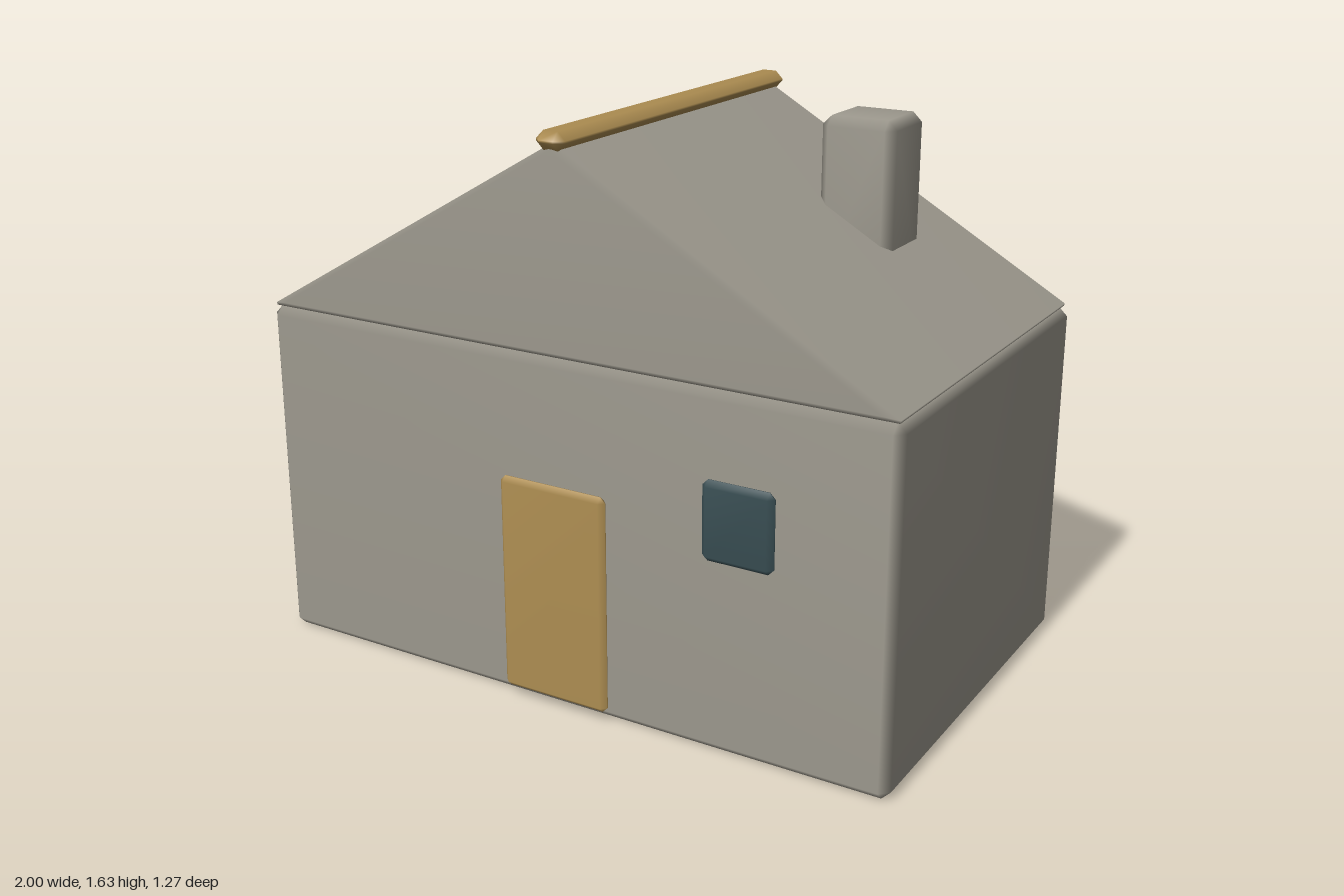
import * as THREE from 'three';
import { ConvexGeometry } from 'three/addons/geometries/ConvexGeometry.js';
import { mergeVertices } from 'three/addons/utils/BufferGeometryUtils.js';

const stone = new THREE.MeshStandardMaterial({ color: 0x9d998e });
const wood = new THREE.MeshStandardMaterial({ color: 0xae8e52 });
const glass = new THREE.MeshStandardMaterial({ color: 0x384d52 });

// Prism along z with every edge chamfered; outline is a counter-clockwise list of [x, y]
function chamferedPrism(name, material, outline, z0, z1, bevel) {
  const corners = outline.map(([x, y]) => new THREE.Vector2(x, y));
  const n = corners.length;
  const points = [];
  corners.forEach((c, i) => {
    const toNext = corners[(i + 1) % n].clone().sub(c).normalize();
    const toPrev = corners[(i + n - 1) % n].clone().sub(c).normalize();
    // end caps: the outline moved inwards by the bevel
    const inset = c.clone().addScaledVector(toNext.clone().add(toPrev), bevel / toNext.cross(toPrev));
    points.push(new THREE.Vector3(inset.x, inset.y, z0), new THREE.Vector3(inset.x, inset.y, z1));
    // sides: each corner cut off along both of its edges
    for (const dir of [toNext, toPrev]) {
      const p = c.clone().addScaledVector(dir, bevel);
      points.push(new THREE.Vector3(p.x, p.y, z0 + bevel), new THREE.Vector3(p.x, p.y, z1 - bevel));
    }
  });
  let geometry = new ConvexGeometry(points);
  geometry.deleteAttribute('normal');
  geometry = mergeVertices(geometry, 1e-4);
  geometry.computeVertexNormals();
  const mesh = new THREE.Mesh(geometry, material);
  mesh.name = name;
  return mesh;
}

function chamferedBox(name, material, [x0, x1], [y0, y1], [z0, z1], bevel) {
  return chamferedPrism(name, material, [[x0, y0], [x1, y0], [x1, y1], [x0, y1]], z0, z1, bevel);
}

export function createModel() {
  const house = new THREE.Group();
  house.name = 'house';
  house.add(
    chamferedBox('walls', stone, [-1, 1], [0, 1.025], [-0.617, 0.583], 0.026),
    chamferedPrism('roof', stone, [[-1, 1.026], [1, 1.026], [0, 1.6]], -0.617, 0.583, 0.015),
    chamferedBox('ridge', wood, [-0.045, 0.045], [1.58, 1.632], [-0.634, 0.597], 0.023),
    chamferedBox('chimney', stone, [0.405, 0.629], [1.12, 1.6], [-0.357, -0.137], 0.027),
    chamferedBox('door', wood, [-0.17, 0.169], [0.034, 0.673], [0.584, 0.617], 0.015),
    chamferedBox('window', glass, [0.475, 0.683], [0.577, 0.8], [0.599, 0.634], 0.016)
  );
  return house;
}
